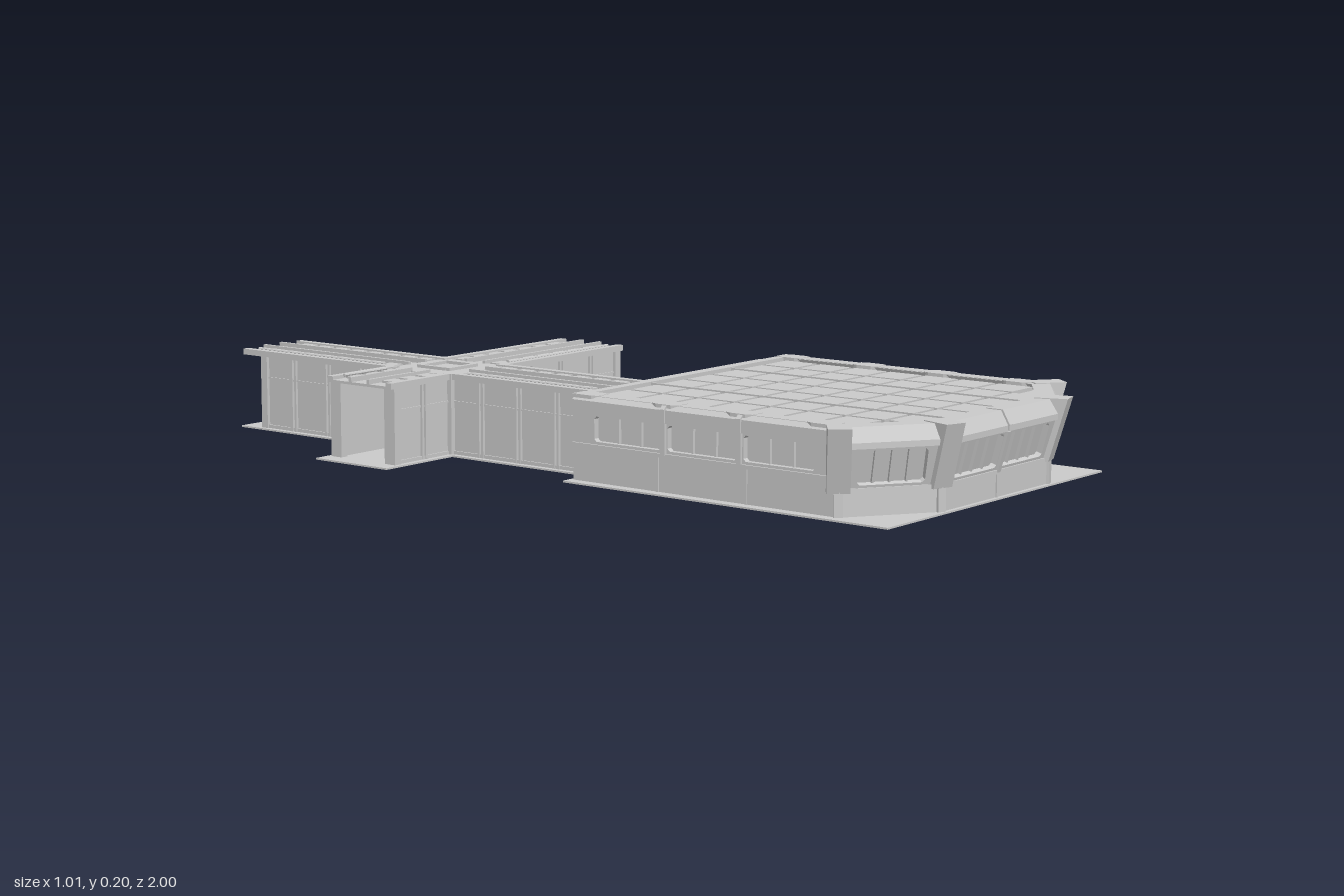
import * as THREE from 'three';

const CX = 0.057;            // centre line of the hall
const HALF = 0.402;          // half width of the hall
const BACK = 0.11, FRONT = 0.95, SHOULDER = 0.82, NOSE = 0.214;
const CROSS = [-0.17, -0.42]; // centre of the corridor crossing

const mat = new THREE.MeshStandardMaterial({ color: 0xcccccc, flatShading: true, side: THREE.DoubleSide });

function add(parent, name, geo) {
  const m = new THREE.Mesh(geo, mat);
  m.name = name;
  parent.add(m);
  return m;
}
// box given by its min and max on each axis
function box(parent, name, x0, x1, y0, y1, z0, z1) {
  const m = add(parent, name, new THREE.BoxGeometry(x1 - x0, y1 - y0, z1 - z0));
  m.position.set((x0 + x1) / 2, (y0 + y1) / 2, (z0 + z1) / 2);
  return m;
}
const shapeOf = pts => new THREE.Shape(pts.map(p => new THREE.Vector2(...p)));
const extrude = (shape, depth) => new THREE.ExtrudeGeometry(shape, { depth, bevelEnabled: false });
// profile of (z, y) points swept along x
function prism(parent, name, pts, len) {
  const g = extrude(shapeOf(pts), len);
  g.translate(0, 0, -len / 2);
  g.rotateY(-Math.PI / 2);
  return add(parent, name, g);
}
// flat plate outlined by (x, z) points, hanging down from y = top
function plate(parent, name, pts, top, thick) {
  const g = extrude(shapeOf(pts), thick);
  g.rotateX(Math.PI / 2);
  g.translate(0, top, 0);
  return add(parent, name, g);
}
function group(parent, name, x, z, angle) {
  const g = new THREE.Group();
  g.name = name;
  g.position.set(x, 0, z);
  g.rotation.y = angle;
  parent.add(g);
  return g;
}

// one wall of the hall between two plan points, with a band of windows
function windowWall(parent, name, a, b, o) {
  const dx = b[0] - a[0], dz = b[1] - a[1], len = Math.hypot(dx, dz);
  const g = group(parent, name, (a[0] + b[0]) / 2, (a[1] + b[1]) / 2, Math.atan2(-dz, dx));
  const L = len / 2;
  box(g, 'lowerWall', -L, L, 0, o.sill, -0.02, 0);
  for (let i = 1; i < o.count; i++) {
    const x = -L + (len * i) / o.count;
    box(g, 'lowerSeam', x - 0.003, x + 0.003, 0, o.sill, 0, 0.003);
  }
  box(g, 'sillLedge', -L, L, o.sill - 0.005, o.sill + 0.004, -0.02, 0.005);

  // leaning frame with openings, panes and mullions
  const band = new THREE.Group();
  band.name = 'windowBand';
  band.position.y = o.sill;
  band.rotation.x = o.tilt;
  g.add(band);
  const H = o.height, W = len - 2 * o.margin, w = W / o.count;
  const frame = shapeOf([[-L, 0], [L, 0], [L, H], [-L, H]]);
  for (let i = 0; i < o.count; i++) {
    const x0 = -W / 2 + i * w + 0.009, x1 = x0 + w - 0.018, y0 = 0.01, y1 = H - 0.006, c = 0.006;
    frame.holes.push(new THREE.Path([[x0 + c, y0], [x1 - c, y0], [x1, y0 + c], [x1, y1 - c],
      [x1 - c, y1], [x0 + c, y1], [x0, y1 - c], [x0, y0 + c]].map(p => new THREE.Vector2(...p))));
    box(band, 'windowPane', x0 - 0.003, x1 + 0.003, y0 - 0.003, y1 + 0.003, -0.019, -0.015);
    for (let k = 1; k <= o.mullions; k++) {
      const x = x0 + ((x1 - x0) * k) / (o.mullions + 1);
      box(band, 'mullion', x - 0.002, x + 0.002, y0, y1, -0.016, -0.008);
    }
    if (i) box(band, 'pilaster', x0 - 0.015, x0 - 0.003, 0, H, 0, 0.006);
  }
  const fg = extrude(frame, 0.014);
  fg.translate(0, 0, -0.014);
  add(band, 'windowFrame', fg);

  prism(g, 'header', o.header, len);
  for (let i = 1; i < o.count; i++) {
    const x = -L + o.margin + w * i;
    prism(g, 'headerRib', o.header.map(([z, y]) => [z + 0.004, Math.min(y + 0.002, 0.196)]), 0.012).position.x = x;
  }
}

function buildHall(root) {
  const hall = group(root, 'hall', CX, 0, 0);
  box(hall, 'hallFloor', -0.427, 0.427, 0, 0.004, 0.1, 0.96);

  const pts = [[-HALF, BACK], [-HALF, SHOULDER], [-NOSE, FRONT], [NOSE, FRONT], [HALF, SHOULDER], [HALF, BACK]];
  const side = { sill: 0.085, height: 0.072, tilt: 0, count: 3, mullions: 2, margin: 0.05,
    header: [[-0.03, 0.155], [0.004, 0.155], [0.004, 0.184], [-0.006, 0.194], [-0.045, 0.194]] };
  const bow = { sill: 0.06, height: 0.094, tilt: 0.27, count: 1, mullions: 3, margin: 0.03,
    header: [[0, 0.15], [0.03, 0.15], [0.03, 0.163], [0.012, 0.194], [-0.03, 0.194]] };
  windowWall(hall, 'rightWall', pts[0], pts[1], side);
  windowWall(hall, 'rightBowWall', pts[1], pts[2], bow);
  windowWall(hall, 'frontWall', pts[2], pts[3], { ...bow, count: 2 });
  windowWall(hall, 'leftBowWall', pts[3], pts[4], bow);
  windowWall(hall, 'leftWall', pts[4], pts[5], side);

  // leaning fins at the four bow corners
  for (const s of [-1, 1])
    for (const [x, z, deg] of [[NOSE, FRONT, 17.5], [HALF, SHOULDER, 52]]) {
      const fin = group(hall, 'cornerFin', s * x, z, (s * deg * Math.PI) / 180);
      prism(fin, 'finBlade', [[-0.03, 0.055], [0.004, 0.055], [0.045, 0.196], [-0.03, 0.196]], 0.05);
      prism(fin, 'finRidge', [[-0.02, 0], [0.003, 0], [0.003, 0.06], [-0.02, 0.06]], 0.02);
    }

  // roof deck, and tiles trimmed to the slanted bow
  plate(hall, 'roofDeck', pts.map(([x, z]) => [x * 0.98, z - 0.004]), 0.182, 0.008);
  const limit = x => Math.min(0.925, 0.925 - (Math.abs(x) - NOSE) * 0.69);
  const nx = 7, nz = 8, px = 0.7 / nx, pz = 0.79 / nz, gap = 0.006;
  for (let i = 0; i < nx; i++)
    for (let j = 0; j < nz; j++) {
      const x0 = -0.35 + i * px + gap, x1 = x0 + px - 2 * gap;
      const z0 = 0.14 + j * pz + gap, z1 = z0 + pz - 2 * gap;
      if (Math.min(limit(x0), limit(x1)) < z0 + 0.01) continue;
      plate(hall, 'roofTile', [[x0, z0], [x1, z0], [x1, Math.min(z1, limit(x1))],
        [x0, Math.min(z1, limit(x0))]], 0.19, 0.008);
    }
  for (const x of [-0.15, 0.15]) box(hall, 'roofRib', x - 0.003, x + 0.003, 0.182, 0.193, 0.13, 0.92);

  // side beams with wider pads, and rows of bolts
  for (const s of [-1, 1]) {
    const beam = group(hall, 'sideBeam', s * 0.378, 0, 0);
    box(beam, 'beam', -0.018, 0.018, 0.18, 0.195, 0.11, 0.8);
    for (const z of [0.14, 0.36, 0.56, 0.77])
      plate(beam, 'beamPad', [[-0.018, z - 0.035], [0.018, z - 0.035], [0.024, z - 0.02], [0.024, z + 0.02],
        [0.018, z + 0.035], [-0.018, z + 0.035], [-0.024, z + 0.02], [-0.024, z - 0.02]], 0.196, 0.014);
    for (let z = 0.2; z < 0.76; z += 0.08) {
      const bolt = add(beam, 'bolt', new THREE.CylinderGeometry(0.003, 0.003, 0.004, 6));
      bolt.position.set(-s * 0.026, 0.184, z);
    }
  }

  // back wall with the corridor opening and a recessed door
  const back = group(root, 'backWall', 0, BACK, 0);
  for (const [a, b] of [[CX - HALF, -0.245], [-0.095, 0.25], [0.345, CX + HALF]])
    box(back, 'backPanel', a, b, 0, 0.19, 0, 0.02);
  box(back, 'doorLintel', 0.25, 0.345, 0.14, 0.19, 0, 0.02);
  box(back, 'door', 0.25, 0.345, 0, 0.14, 0.012, 0.018);
  box(back, 'doorSeam', 0.295, 0.3, 0, 0.14, 0.008, 0.012);
  for (const x of [0.244, 0.345]) box(back, 'doorJamb', x, x + 0.006, 0, 0.146, -0.006, 0);
  box(back, 'doorHead', 0.244, 0.351, 0.14, 0.147, -0.006, 0);
  box(back, 'corridorLintel', -0.245, -0.095, 0.175, 0.19, 0, 0.02);
  box(back, 'backRoofBeam', CX - HALF, CX + HALF, 0.18, 0.195, -0.004, 0.02);
  box(back, 'backCanopy', -0.06, 0.38, 0.178, 0.19, -0.03, -0.008);
  for (let x = -0.04; x < 0.37; x += 0.1) box(back, 'canopyBracket', x, x + 0.01, 0.165, 0.192, -0.02, 0);
  for (const x of [-0.3, 0.02, 0.13, 0.41]) box(back, 'backRib', x, x + 0.01, 0, 0.18, -0.005, 0);
}

// one hollow corridor running along its own +z away from the crossing
function buildCorridor(root, name, angle, wallEnd, roofEnd, floorEnd, open) {
  const g = group(root, name, CROSS[0], CROSS[1], angle);
  const s0 = 0.095;
  box(g, 'corridorFloor', -0.11, 0.11, 0, 0.004, 0.11, floorEnd);
  box(g, 'corridorRoof', -0.1, 0.1, 0.178, 0.184, s0, roofEnd);
  for (const s of [-1, 1]) {
    const sd = (n, a, b, y0, y1, z0, z1) => box(g, n, Math.min(s * a, s * b), Math.max(s * a, s * b), y0, y1, z0, z1);
    sd('corridorWall', 0.078, 0.092, 0, 0.18, 0.08, wallEnd);
    sd('wallRail', 0.092, 0.095, 0.125, 0.129, s0, wallEnd);
    sd('skirting', 0.092, 0.096, 0, 0.012, s0, wallEnd);
    for (let r = 0.187; r < wallEnd - 0.03; r += 0.113) {
      sd('wallRib', 0.092, 0.098, 0, 0.18, r - 0.009, r - 0.003);
      sd('wallRib', 0.092, 0.098, 0, 0.18, r + 0.003, r + 0.009);
    }
    if (open) sd('endPillar', 0.068, 0.1, 0, 0.18, wallEnd - 0.02, wallEnd);
    // roof edge rails and inner runners
    sd('roofEdge', 0.082, 0.1, 0.184, 0.192, s0, roofEnd);
    sd('roofRunner', 0.024, 0.032, 0.184, 0.195, s0, roofEnd);
  }
  for (let r = 0.13; r < roofEnd - 0.02; r += 0.056)
    for (const s of [-1, 1]) {
      const p = box(g, 'roofPanel', -0.021, 0.021, 0.184, 0.189, r - 0.02, r + 0.02);
      p.position.x = s * 0.057;
    }
  const pipe = add(g, 'roofPipe', new THREE.CylinderGeometry(0.004, 0.004, roofEnd - 0.16, 8));
  pipe.rotation.x = Math.PI / 2;
  pipe.position.set(angle > 2 ? 0.075 : -0.075, 0.192, (roofEnd + 0.1) / 2);
  // inner door frame beside the crossing
  const frame = shapeOf([[-0.078, 0], [-0.037, 0], [-0.037, 0.13], [-0.028, 0.14], [0.028, 0.14],
    [0.037, 0.13], [0.037, 0], [0.078, 0], [0.078, 0.178], [-0.078, 0.178]]);
  add(g, 'innerDoorFrame', extrude(frame, 0.015)).position.z = 0.11;
}

export function createModel() {
  const root = new THREE.Group();
  root.name = 'stationModule';
  buildHall(root);
  buildCorridor(root, 'hallCorridor', 0, 0.53, 0.53, 0.52, false);
  buildCorridor(root, 'backCorridor', Math.PI, 0.52, 0.58, 0.58, true);
  buildCorridor(root, 'leftCorridor', Math.PI / 2, 0.52, 0.53, 0.555, true);
  buildCorridor(root, 'rightCorridor', -Math.PI / 2, 0.29, 0.30, 0.33, true);

  // crossing with a square roof hatch
  const c = group(root, 'crossing', CROSS[0], CROSS[1], 0);
  box(c, 'crossingFloor', -0.11, 0.11, 0, 0.004, -0.11, 0.11);
  box(c, 'crossingRoof', -0.1, 0.1, 0.178, 0.188, -0.1, 0.1);
  for (const s of [-1, 1]) {
    box(c, 'hatchRim', -0.05, 0.05, 0.188, 0.195, s * 0.045 - 0.006, s * 0.045 + 0.006);
    box(c, 'hatchRim', s * 0.045 - 0.006, s * 0.045 + 0.006, 0.188, 0.195, -0.039, 0.039);
    for (const t of [-1, 1])
      box(c, 'cornerPost', s * 0.092 - 0.012, s * 0.092 + 0.012, 0, 0.192, t * 0.092 - 0.012, t * 0.092 + 0.012);
  }
  return root;
}
